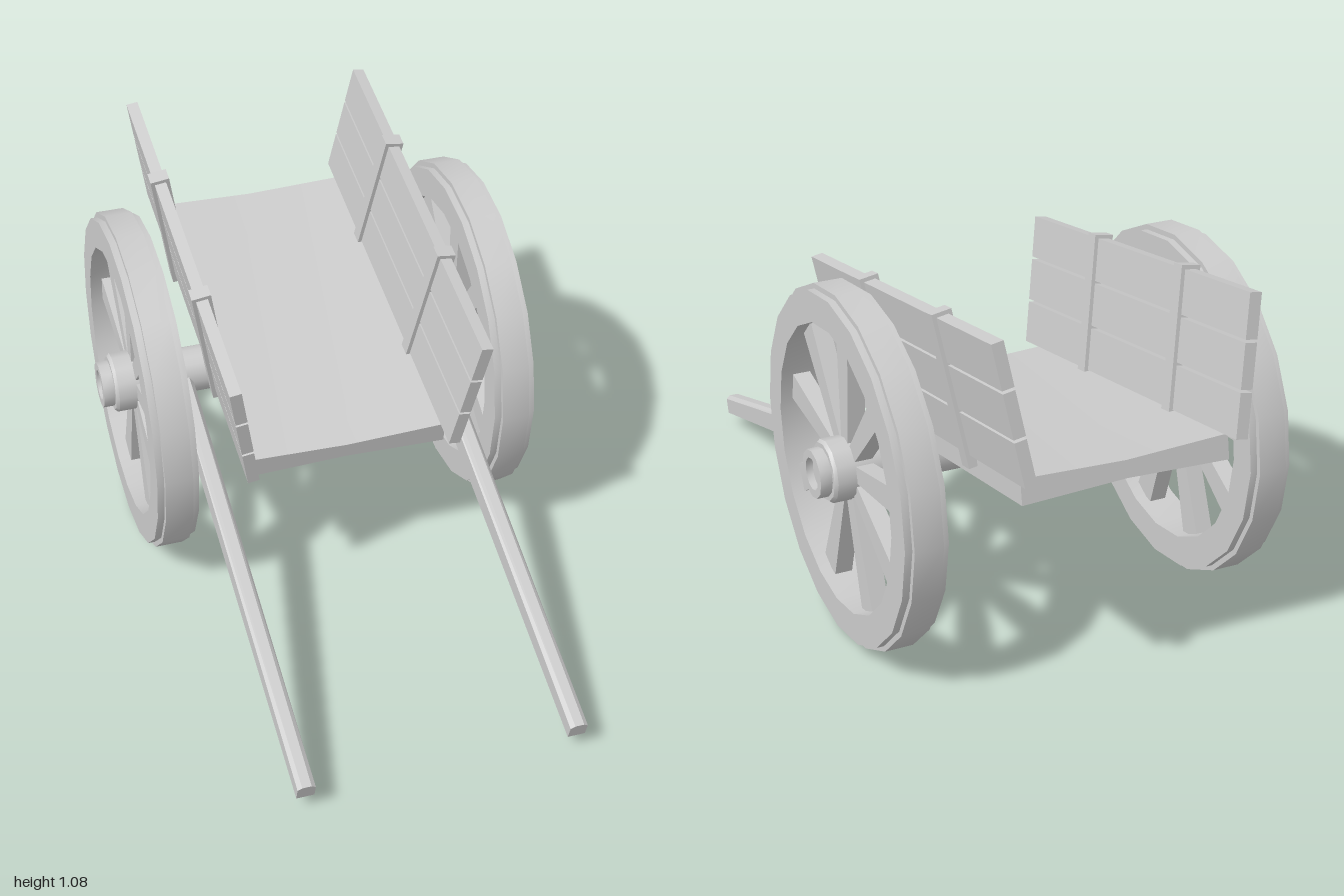
import * as THREE from 'three';
import { toCreasedNormals } from 'three/addons/utils/BufferGeometryUtils.js';

const material = new THREE.MeshStandardMaterial({ color: 0xcccccc });
const PITCH = 0.186; // backward tilt of the cart body
const AXLE_Y = 0.503, AXLE_Z = -0.338;

function part(name, geometry, parent, x = 0, y = 0, z = 0) {
  const mesh = new THREE.Mesh(geometry, material);
  mesh.name = name;
  mesh.position.set(x, y, z);
  parent.add(mesh);
  return mesh;
}

// Moves every vertex by a rule and refreshes the normals
function reshape(geometry, rule) {
  const p = geometry.attributes.position;
  const v = new THREE.Vector3();
  for (let i = 0; i < p.count; i++) {
    rule(v.fromBufferAttribute(p, i));
    p.setXYZ(i, v.x, v.y, v.z);
  }
  geometry.computeVertexNormals();
  return geometry;
}

// Revolves [radius, x] points around the x axis
function turned(points, sides) {
  const g = new THREE.LatheGeometry(points.map(([r, x]) => new THREE.Vector2(r, x)), sides);
  g.rotateZ(-Math.PI / 2);
  return toCreasedNormals(g, 0.6);
}

function makeWheel(name) {
  const wheel = new THREE.Group();
  wheel.name = name;

  // Rim with a raised tyre band
  part('rim', turned([
    [0.4, 0.44], [0.487, 0.44], [0.487, 0.46], [0.502, 0.46], [0.502, 0.54],
    [0.487, 0.54], [0.487, 0.56], [0.4, 0.56], [0.4, 0.44],
  ], 20), wheel);

  // Hub with a hollow axle cap
  part('hub', turned([
    [0.06, 0.415], [0.088, 0.415], [0.088, 0.578], [0.081, 0.587], [0.068, 0.587],
    [0.068, 0.62], [0.045, 0.62], [0.045, 0.6], [0, 0.6],
  ], 12), wheel);

  // Spokes flare towards the rim
  const spoke = reshape(new THREE.BoxGeometry(0.05, 0.35, 1), (v) => {
    v.z *= v.y > 0 ? 0.082 : 0.045;
    v.y += 0.24;
  });
  for (let i = 0; i < 9; i++) {
    part('spoke', spoke, wheel, 0.5).rotation.x = (i * Math.PI * 2) / 9;
  }
  wheel.position.set(0, AXLE_Y, AXLE_Z);
  return wheel;
}

// Splayed side: three planks held by two cleats
function makeSide(name, s) {
  const side = new THREE.Group();
  side.name = name;
  const plank = new THREE.BoxGeometry(0.034, 0.121, 1.222);
  for (let i = -1; i <= 1; i++) part('plank', plank, side, 0, i * 0.129, 0);
  const cleat = new THREE.BoxGeometry(0.056, 0.425, 0.042);
  for (const z of [0.225, -0.265]) part('cleat', cleat, side, 0, -0.012, z);
  side.position.set(s * 0.327, 0.786, -0.36);
  side.rotation.set(PITCH, 0, -s * 0.16);
  return side;
}

// Tapered pull shaft with rounded-off top edges
function makeShaftGeometry() {
  const length = 1.376;
  const shape = new THREE.Shape();
  shape.moveTo(-0.025, -1);
  shape.lineTo(0.025, -1);
  shape.lineTo(0.025, 0.65);
  shape.lineTo(0.013, 1);
  shape.lineTo(-0.013, 1);
  shape.lineTo(-0.025, 0.65);
  shape.closePath();
  const g = new THREE.ExtrudeGeometry(shape, { depth: length, bevelEnabled: false });
  g.translate(0, 0, -length / 2);
  return reshape(g, (v) => {
    v.y *= THREE.MathUtils.lerp(0.044, 0.028, v.z / length + 0.5);
  });
}

export function createModel() {
  const cart = new THREE.Group();
  cart.name = 'handCart';

  // Bed, slightly thinner along the middle
  const bed = reshape(new THREE.BoxGeometry(0.59, 0.07, 1.08, 2, 1, 1), (v) => {
    if (Math.abs(v.x) < 0.01) v.y -= Math.sign(v.y) * 0.011;
  });
  part('bed', toCreasedNormals(bed, 0.6), cart, 0, 0.569, -0.406).rotation.x = PITCH;

  // Axle
  const axle = new THREE.CylinderGeometry(0.068, 0.068, 0.9, 16);
  part('axle', axle, cart, 0, AXLE_Y, AXLE_Z).rotation.z = Math.PI / 2;

  // Sides and wheels
  cart.add(makeSide('leftSide', 1), makeSide('rightSide', -1));
  const rightWheel = makeWheel('rightWheel');
  rightWheel.rotation.y = Math.PI;
  cart.add(makeWheel('leftWheel'), rightWheel);

  // Shafts
  const shaft = makeShaftGeometry();
  for (const [name, x] of [['leftShaft', 0.393], ['rightShaft', -0.376]]) {
    part(name, shaft, cart, x, 0.28, 0.335).rotation.x = 0.31;
  }
  return cart;
}
